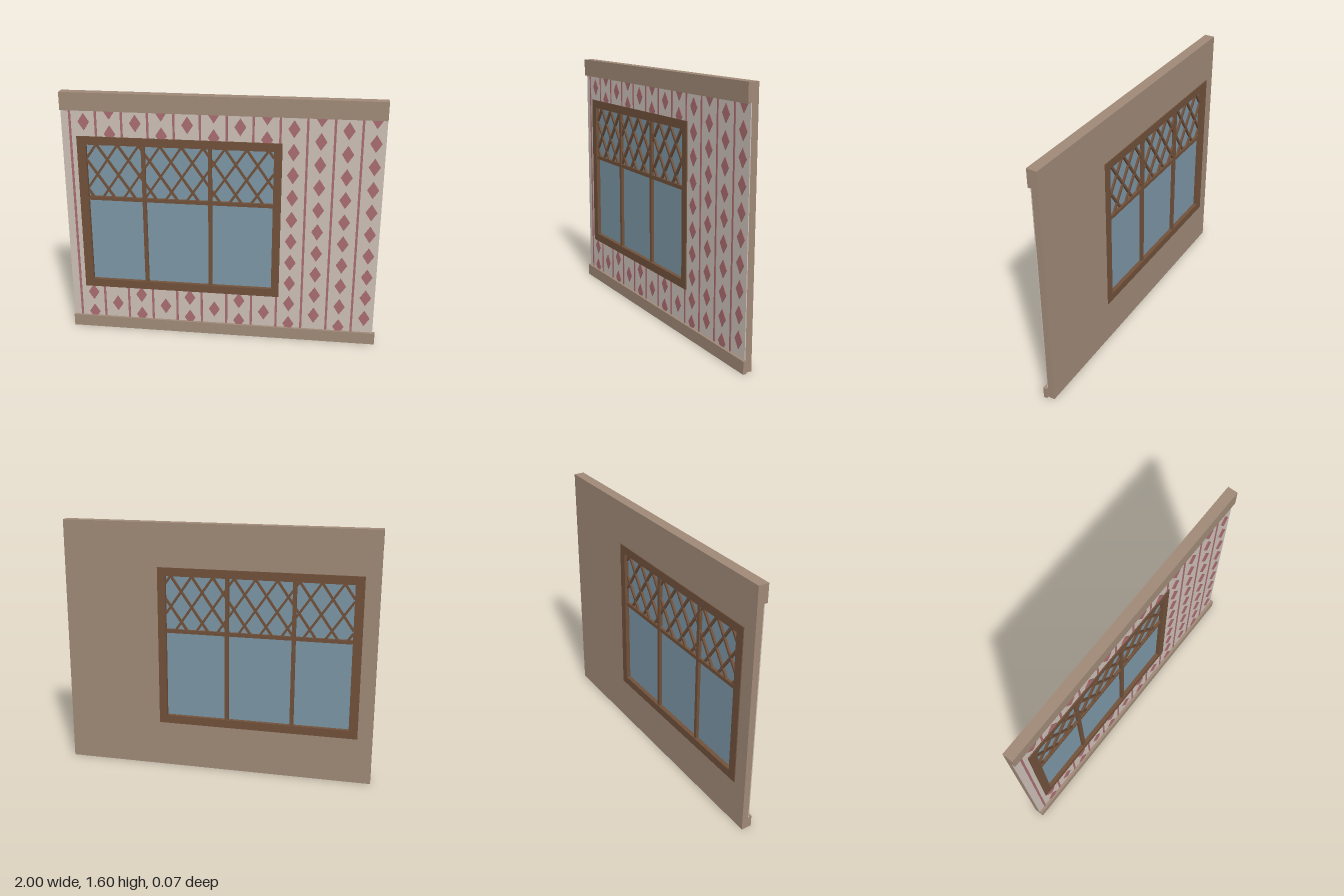
import * as THREE from 'three';

const mat = (name, color, side = THREE.FrontSide) => {
  const m = new THREE.MeshStandardMaterial({ color, side });
  m.name = name;
  return m;
};

export function createModel() {
  const trimMat = mat('taupe trim', 0x9f8977);
  const paperMat = mat('cream wallpaper', 0xcbbfb6);
  const roseMat = mat('rose pattern', 0xa86c6f);
  const woodMat = mat('brown wood', 0x70503a);
  const glassMat = mat('blue glass', 0x7b95a4);

  const model = new THREE.Group();
  model.name = 'wallWithWindow';

  const add = (parent, name, geometry, material) => {
    const mesh = new THREE.Mesh(geometry, material);
    mesh.name = name;
    parent.add(mesh);
    return mesh;
  };
  const group = (name) => {
    const g = new THREE.Group();
    g.name = name;
    model.add(g);
    return g;
  };
  // Box given by its limits on each axis
  const box = (parent, name, x0, x1, y0, y1, z0, z1, material) => {
    const m = add(parent, name, new THREE.BoxGeometry(x1 - x0, y1 - y0, z1 - z0), material);
    m.position.set((x0 + x1) / 2, (y0 + y1) / 2, (z0 + z1) / 2);
    return m;
  };
  const corners = (x0, x1, y0, y1) =>
    [[x0, y0], [x1, y0], [x1, y1], [x0, y1]].map(([x, y]) => new THREE.Vector2(x, y));
  // Rectangular panel with a rectangular opening
  const panel = (name, outer, inner, z0, z1, material) => {
    const shape = new THREE.Shape(corners(...outer));
    shape.holes.push(new THREE.Path(corners(...inner).reverse()));
    const geo = new THREE.ExtrudeGeometry(shape, { depth: z1 - z0, bevelEnabled: false });
    geo.translate(0, 0, z0);
    return add(model, name, geo, material);
  };

  const frameOuter = [-0.908, 0.372, 0.295, 1.323];
  const opening = [-0.852, 0.322, 0.348, 1.27];
  const hidden = [-0.88, 0.345, 0.32, 1.297]; // cut edge tucked behind the frame

  // Wall, wallpaper and trims
  panel('wall', [-1, 0.985, 0, 1.6], hidden, -0.03, 0.012, trimMat);
  panel('wallpaper', [-1, 0.985, 0.07, 1.49], hidden, 0.012, 0.018, paperMat);
  box(model, 'topTrim', -1, 0.985, 1.487, 1.6, 0.012, 0.036, trimMat);
  box(model, 'baseboard', -1, 1, 0, 0.077, 0.012, 0.036, trimMat);

  // Wallpaper stripes, interrupted by the window
  const stripes = group('wallpaperStripes');
  for (let k = 0; k < 12; k++) {
    const x = -0.945 + k * 0.1628;
    const spans = x > -0.9 && x < 0.37 ? [[0.077, 0.3], [1.32, 1.487]] : [[0.077, 1.487]];
    for (const [y0, y1] of spans) box(stripes, 'stripe', x - 0.007, x + 0.007, y0, y1, 0.018, 0.021, roseMat);
  }

  // Staggered diamonds between the stripes
  const diamonds = group('wallpaperDiamonds');
  const diamondShape = new THREE.Shape(
    [[0, -0.055], [0.036, 0], [0, 0.055], [-0.036, 0]].map(([x, y]) => new THREE.Vector2(x, y)));
  const diamondGeo = new THREE.ExtrudeGeometry(diamondShape, { depth: 0.004, bevelEnabled: false });
  for (let k = 0; k < 12; k++) {
    const top = k % 2 ? 1.488 : 1.415;
    for (let n = 0; n < 10; n++) {
      const y = top - n * 0.1457;
      if (k < 8 && y > 0.3 && y < 1.3) continue;
      add(diamonds, 'diamond', diamondGeo, roseMat).position.set(-0.858 + k * 0.1622, y, 0.018);
    }
  }

  // Window frame, glass and glazing bars
  panel('windowFrame', frameOuter, opening, -0.036, 0.025, woodMat);
  box(model, 'glass', -0.86, 0.33, 0.34, 1.28, -0.009, -0.001, glassMat);
  const bars = group('glazingBars');
  const mullions = [-0.492, -0.072];
  for (const x of mullions) box(bars, 'mullion', x - 0.012, x + 0.012, 0.348, 1.27, -0.028, 0.018, woodMat);
  box(bars, 'transom', -0.852, 0.322, 0.903, 0.927, -0.027, 0.017, woodMat);

  // Diagonal lattice in the upper panes, clipped to each pane
  const lattice = group('lattice');
  const slope = 1.45, step = 0.135, yTop = 1.27, yLow = 0.92;
  const edges = [opening[0], ...mullions, opening[1]];
  for (let p = 0; p < 3; p++) {
    const xa = edges[p], xb = edges[p + 1];
    for (const s of [-1, 1]) {
      for (let k = -4; k < 14; k++) {
        const xTop = -0.79 + k * step; // where the bar meets the head
        const xLow = xTop + s * (yTop - yLow) / slope;
        const x0 = Math.max(xa, Math.min(xTop, xLow));
        const x1 = Math.min(xb, Math.max(xTop, xLow));
        if (x1 - x0 < 0.01) continue;
        const yAt = (x) => yTop - s * (x - xTop) * slope;
        const len = Math.hypot(x1 - x0, yAt(x1) - yAt(x0));
        const depth = s > 0 ? 0.034 : 0.036;
        const bar = add(lattice, 'latticeBar', new THREE.BoxGeometry(len, 0.014, depth), woodMat);
        bar.position.set((x0 + x1) / 2, (yAt(x0) + yAt(x1)) / 2, -0.005);
        bar.rotation.z = Math.atan2(yAt(x1) - yAt(x0), x1 - x0);
      }
    }
  }
  return model;
}
